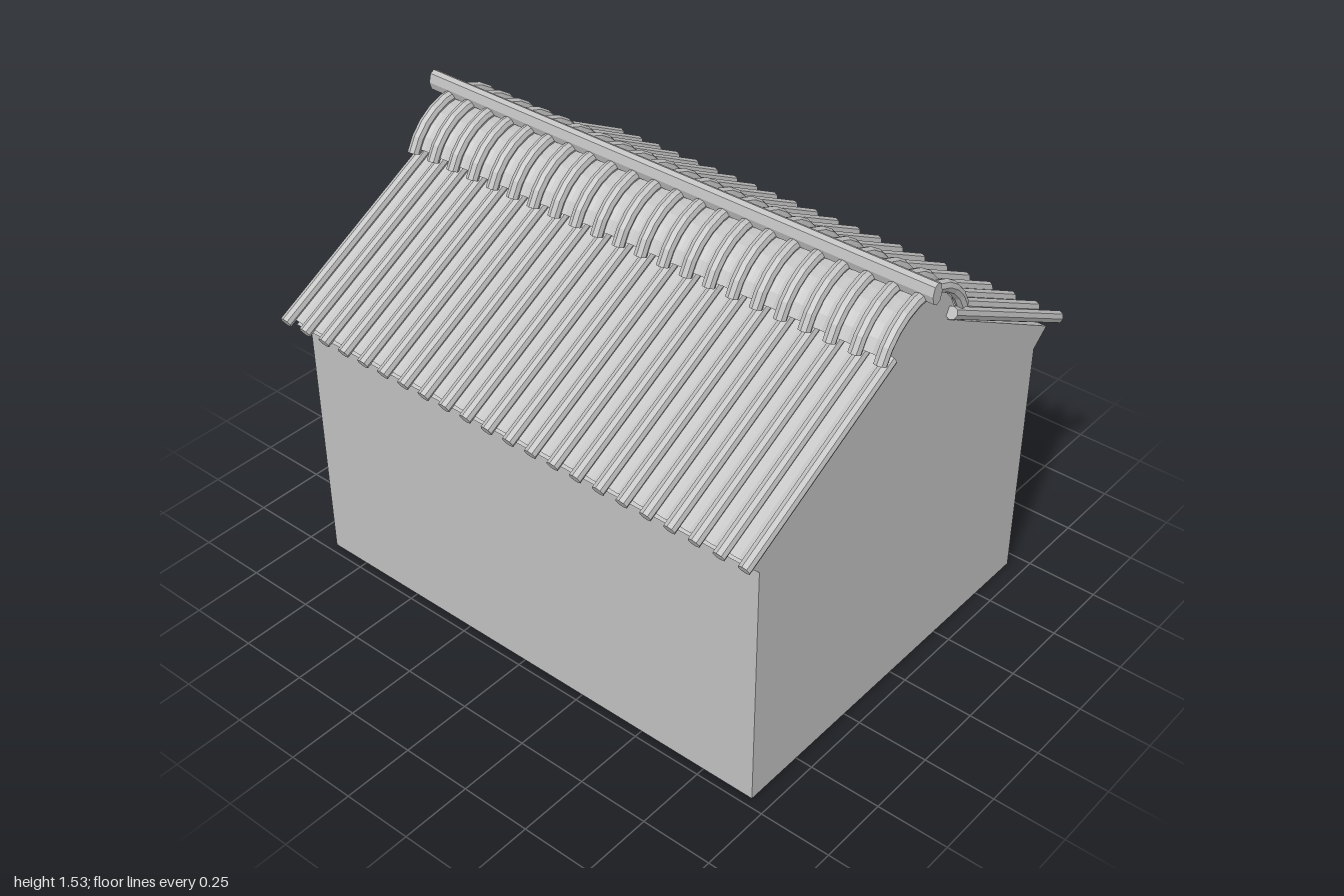
import * as THREE from 'three';

const RIBS = 22, Z_BACK = -0.912, PITCH = 0.0888;
const Z_FRONT = Z_BACK + PITCH * (RIBS - 1);
const WALL_BACK = -0.9, WALL_FRONT = 0.94;
const ARCH_R = 0.222, ARCH_Y = 1.25, ARCH_HALF = THREE.MathUtils.degToRad(68);

const stone = new THREE.MeshStandardMaterial({ color: 0xc0c0c0, side: THREE.DoubleSide });
stone.name = 'grey stone';

// Faceted normals for crisp low-poly faces
function mesh(name, geometry, parent) {
  const flat = geometry.index ? geometry.toNonIndexed() : geometry;
  flat.computeVertexNormals();
  const m = new THREE.Mesh(flat, stone);
  m.name = name;
  parent.add(m);
  return m;
}

// Sheet swept along z: place(u, v) gives a point, u across the profile, v along z
function sheet(nu, nv, place) {
  const g = new THREE.PlaneGeometry(1, 1, nu, nv);
  const p = g.attributes.position;
  for (let i = 0; i < p.count; i++) {
    p.setXYZ(i, ...place(p.getX(i) + 0.5, p.getY(i) + 0.5));
  }
  return g;
}

// Depth of the hollow tile between two ribs
const hollow = (v) => 0.018 * Math.sin(Math.PI * ((v * (RIBS - 1)) % 1));
const zAt = (v) => THREE.MathUtils.lerp(Z_BACK, Z_FRONT, v);
const archPoint = (a, r) => [Math.sin(a) * r, ARCH_Y + Math.cos(a) * r];

export function createModel() {
  const model = new THREE.Group();
  model.name = 'tiledHouse';

  // Gable walls, with a rounded top under the ridge tiles
  const outline = [[0.70, 0], [0.70, 0.9], [0.765, 0.955], [0.155, 1.295]];
  for (let i = 0; i <= 10; i++) {
    outline.push(archPoint(ARCH_HALF * (1 - i / 5), ARCH_R - 0.02));
  }
  outline.push([-0.155, 1.295], [-0.775, 0.955], [-0.72, 0.9], [-0.72, 0]);
  const gable = new THREE.Shape(outline.map(([x, y]) => new THREE.Vector2(x, y)));
  mesh('frontWall', new THREE.ShapeGeometry(gable), model).position.z = WALL_FRONT;
  mesh('backWall', new THREE.ShapeGeometry(gable).rotateY(Math.PI).scale(-1, 1, 1), model).position.z = WALL_BACK;

  // Side walls with sloping eaves and the underside of the roof
  for (const [name, list] of [['left', outline.slice(0, 4)], ['right', outline.slice(-4).reverse()]]) {
    mesh(name + 'Wall', sheet(3, 1, (u, v) => {
      const [x, y] = list[Math.round(u * 3)];
      return [x, y, THREE.MathUtils.lerp(WALL_BACK, WALL_FRONT, v)];
    }), model);
  }

  // Two roof slopes: hollow tiles and the round ribs between them
  const top = new THREE.Vector2(0.152, 1.326), eave = new THREE.Vector2(0.808, 0.974);
  const run = eave.clone().sub(top), length = run.length();
  const normal = new THREE.Vector2(-run.y, run.x).normalize();
  for (const side of [1, -1]) {
    const slope = new THREE.Group();
    slope.name = side > 0 ? 'leftRoof' : 'rightRoof';
    model.add(slope);
    mesh('hollowTiles', sheet(1, (RIBS - 1) * 6, (u, v) => {
      const d = hollow(v), t = u * 0.965;
      return [side * (top.x + run.x * t - normal.x * d), top.y + run.y * t - normal.y * d, zAt(v)];
    }), slope);
    for (let i = 0; i < RIBS; i++) {
      const rib = mesh('roofRib', new THREE.CylinderGeometry(0.021, 0.021, length, 8), slope);
      rib.position.set(side * (top.x + eave.x) / 2, (top.y + eave.y) / 2, Z_BACK + i * PITCH);
      rib.rotation.z = side * Math.atan2(run.x, -run.y);
    }
  }

  // Arched ridge cap
  const cap = new THREE.Group();
  cap.name = 'archedCap';
  model.add(cap);
  mesh('archedHollowTiles', sheet(10, (RIBS - 1) * 6, (u, v) => {
    const a = (u * 2 - 1) * ARCH_HALF * 0.94;
    return [...archPoint(a, ARCH_R - hollow(v)), zAt(v)];
  }), cap);
  for (let i = 0; i < RIBS; i++) {
    const z = Z_BACK + i * PITCH;
    const rib = mesh('archedRib', new THREE.TorusGeometry(ARCH_R, 0.021, 8, 10, ARCH_HALF * 2), cap);
    rib.rotation.z = Math.PI / 2 - ARCH_HALF;
    rib.position.set(0, ARCH_Y, z);
    for (const side of [1, -1]) {
      const end = mesh('archedRibEnd', new THREE.CircleGeometry(0.021, 8).rotateX(Math.PI / 2), cap);
      end.position.set(...archPoint(side * ARCH_HALF, ARCH_R), z);
      end.rotation.z = side * (Math.PI / 2 - ARCH_HALF);
    }
  }

  // Ridge beam with a tall eight-sided section
  const section = new THREE.Shape([
    [-0.010, 1.455], [0.006, 1.465], [0.013, 1.492], [0.006, 1.522],
    [-0.010, 1.53], [-0.026, 1.522], [-0.034, 1.492], [-0.026, 1.465],
  ].map(([x, y]) => new THREE.Vector2(x, y)));
  mesh('ridgeBeam', new THREE.ExtrudeGeometry(section, { depth: 2, bevelEnabled: false }), model).position.z = -1;

  return model;
}
